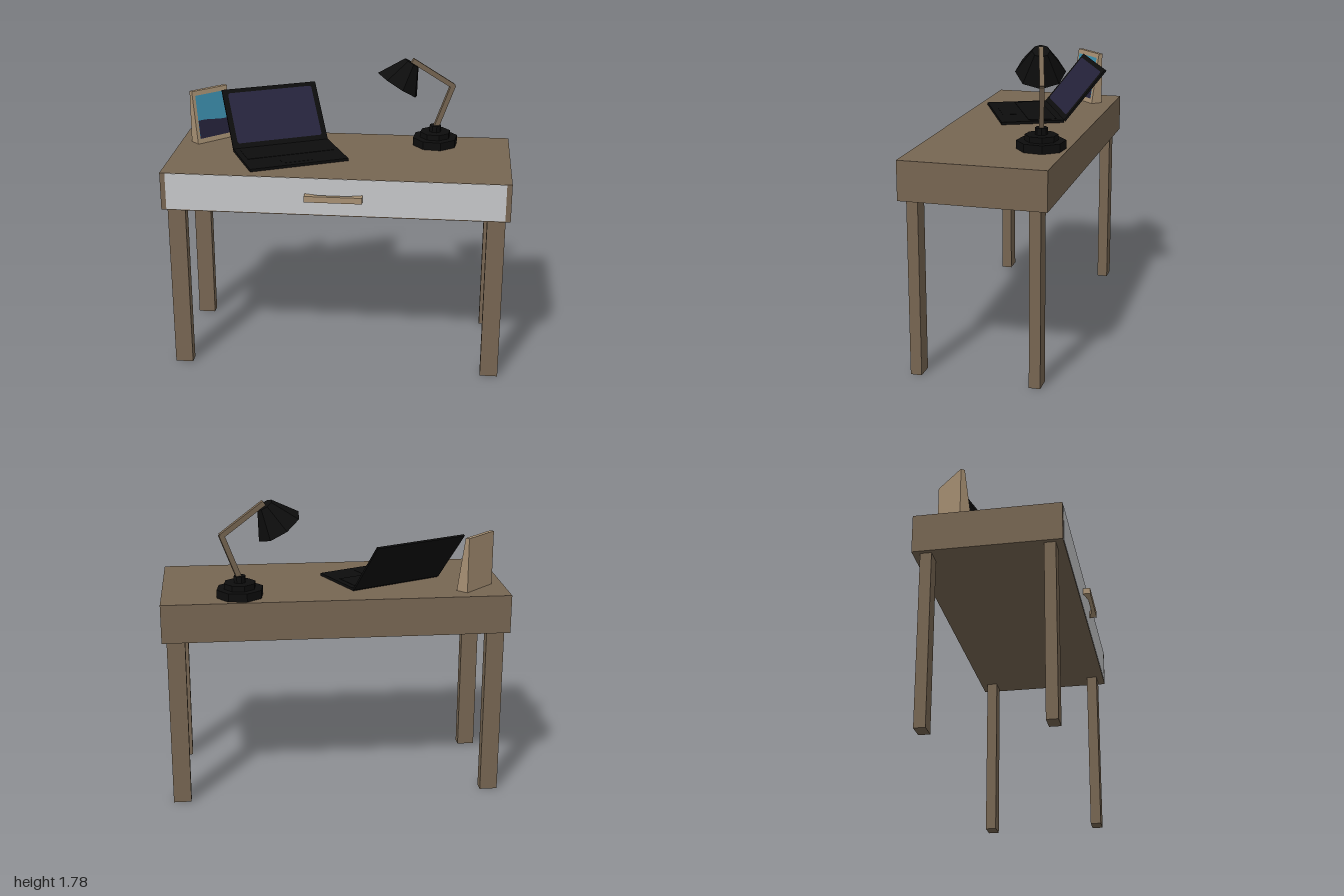
import * as THREE from 'three';

const mat = (name, color, extra = {}) => {
  const m = new THREE.MeshStandardMaterial({ color, flatShading: true, ...extra });
  m.name = name;
  return m;
};

export function createModel() {
  const wood = mat('brown wood', 0x776652);
  const tan = mat('light wood', 0xa89174);
  const panel = mat('pale grey', 0xc6c8ca);
  const black = mat('black', 0x0d0d0d);
  const navy = mat('navy', 0x25233b);
  const sky = mat('sky blue', 0x3d8fae);
  const white = mat('white', 0xe8e8e8, { side: THREE.DoubleSide });

  const root = new THREE.Group();
  root.name = 'deskWithObjects';

  const add = (parent, name, geo, material, x = 0, y = 0, z = 0) => {
    const m = new THREE.Mesh(geo, material);
    m.name = name;
    m.position.set(x, y, z);
    parent.add(m);
    return m;
  };
  const box = (parent, name, material, w, h, d, x, y, z) =>
    add(parent, name, new THREE.BoxGeometry(w, h, d), material, x, y, z);
  const group = (name, x, y, z, turn) => {
    const g = new THREE.Group();
    g.name = name;
    g.position.set(x, y, z);
    g.rotation.y = turn;
    root.add(g);
    return g;
  };

  // Desk
  const top = 1.235;
  box(root, 'deskBody', wood, 2, 0.225, 0.828, 0, 1.1225, 0);
  box(root, 'drawerFront', panel, 1.94, 0.217, 0.006, 0, 1.1245, 0.413);
  for (const sx of [-1, 1]) for (const sz of [-1, 1])
    box(root, 'leg', wood, 0.104, 1.01, 0.064, sx * 0.922, 0.505, sz * 0.34);

  // Drawer handle with a hollowed back
  const grip = new THREE.Shape([
    [-0.165, -0.415], [-0.165, -0.46], [0.165, -0.46], [0.165, -0.415], [0.08, -0.437], [-0.08, -0.437],
  ].map(([x, y]) => new THREE.Vector2(x, y)));
  const gripGeo = new THREE.ExtrudeGeometry(grip, { depth: 0.036, bevelEnabled: false });
  gripGeo.rotateX(-Math.PI / 2);
  add(root, 'drawerHandle', gripGeo, tan, 0, 1.105, 0);

  // Laptop, origin at the middle of its hinge
  const laptop = group('laptop', -0.375, top, -0.115, 0.433);
  box(laptop, 'laptopBase', black, 0.595, 0.016, 0.38, 0, 0.01, 0.19);
  box(laptop, 'keyboard', black, 0.53, 0.003, 0.17, 0, 0.019, 0.125);
  box(laptop, 'trackpad', black, 0.18, 0.002, 0.1, 0, 0.0185, 0.29);
  const lid = new THREE.Group();
  lid.name = 'laptopLid';
  lid.position.y = 0.015;
  lid.rotation.x = -0.69;
  laptop.add(lid);
  box(lid, 'lidShell', black, 0.595, 0.39, 0.012, 0, 0.195, -0.004);
  const w = 0.265, h = 0.165, r = 0.015;
  const display = new THREE.Shape();
  display.absarc(w - r, h - r, r, 0, Math.PI / 2);
  display.absarc(r - w, h - r, r, Math.PI / 2, Math.PI);
  display.absarc(r - w, r - h, r, Math.PI, Math.PI * 1.5);
  display.absarc(w - r, r - h, r, Math.PI * 1.5, Math.PI * 2);
  add(lid, 'display', new THREE.ShapeGeometry(display, 4), navy, 0, 0.198, 0.004);

  // Picture frame: a wedge with a leaning front
  const frame = group('pictureFrame', -0.82, top, -0.223, 0.76);
  const wedge = new THREE.BoxGeometry(0.25, 0.32, 0.075);
  const p = wedge.attributes.position;
  for (let i = 0; i < p.count; i++)
    if (p.getY(i) > 0 && p.getZ(i) > 0) p.setZ(i, -0.0125);
  wedge.computeVertexNormals();
  add(frame, 'frameWedge', wedge, tan, 0, 0.16, 0);
  const face = new THREE.Group();
  face.name = 'picture';
  face.position.z = 0.0375;
  face.rotation.x = -Math.atan(0.05 / 0.32);
  frame.add(face);
  add(face, 'pictureSky', new THREE.PlaneGeometry(0.212, 0.265), sky, 0, 0.163, 0.002);
  const hill = new THREE.Shape();
  hill.moveTo(-0.106, 0.03);
  hill.lineTo(0.106, 0.03);
  hill.lineTo(0.106, 0.128);
  hill.bezierCurveTo(0.03, 0.122, -0.03, 0.148, -0.106, 0.142);
  add(face, 'pictureGround', new THREE.ShapeGeometry(hill), navy, 0, 0, 0.004);

  // Desk lamp: stepped base, two-part arm and tilted shade
  const lamp = group('lamp', 0.55, top, -0.265, 0.274);
  for (const [radius, y0, y1] of [[0.138, 0, 0.048], [0.093, 0.048, 0.081], [0.035, 0.081, 0.12]])
    add(lamp, 'lampBaseStep', new THREE.CylinderGeometry(radius, radius, y1 - y0, 8), black, 0, (y0 + y1) / 2, 0);
  const arm = (name, x0, y0, x1, y1) => {
    const len = Math.hypot(x1 - x0, y1 - y0);
    box(lamp, name, wood, 0.03, len + 0.015, 0.026, (x0 + x1) / 2, (y0 + y1) / 2, 0)
      .rotation.z = Math.atan2(x0 - x1, y1 - y0);
  };
  arm('lowerArm', 0, 0.1, 0.1, 0.36);
  arm('upperArm', 0.1, 0.362, -0.145, 0.525);
  const shade = new THREE.Group();
  shade.name = 'lampShade';
  shade.position.set(-0.24, 0.385, 0);
  shade.rotation.z = -0.573;
  lamp.add(shade);
  add(shade, 'shadeOutside', new THREE.CylinderGeometry(0.05, 0.143, 0.155, 8, 1, true), black, 0, 0.0775, 0);
  add(shade, 'shadeCap', new THREE.CylinderGeometry(0.05, 0.05, 0.008, 8), black, 0, 0.151, 0);
  add(shade, 'shadeInside', new THREE.CylinderGeometry(0.046, 0.137, 0.146, 8), white, 0, 0.0745, 0);

  return root;
}
